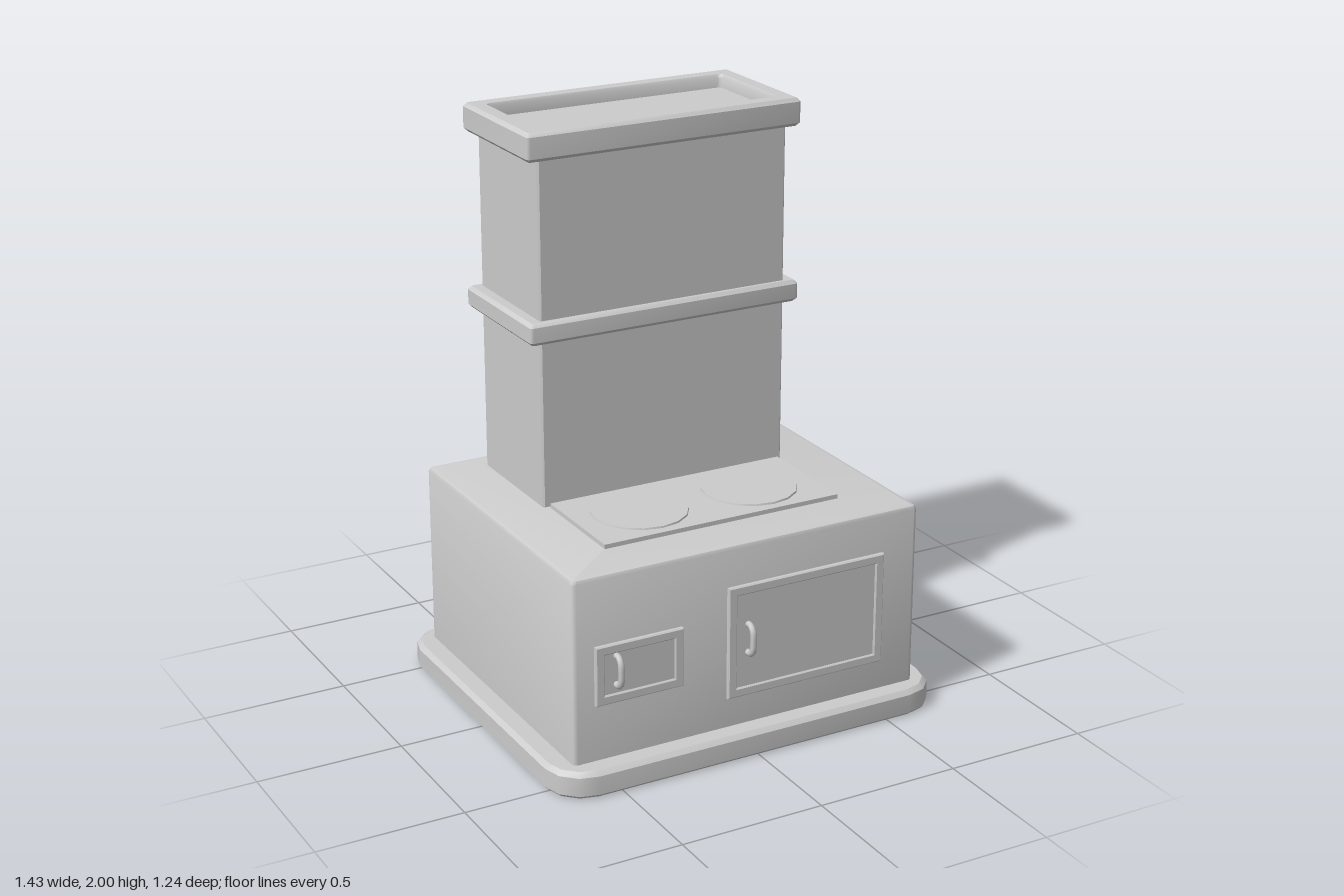
import * as THREE from 'three';
import { toCreasedNormals } from 'three/addons/utils/BufferGeometryUtils.js';

const material = new THREE.MeshStandardMaterial({ color: 0xcccccc, side: THREE.DoubleSide });

function addMesh(parent, name, geometry, x = 0, y = 0, z = 0) {
  const mesh = new THREE.Mesh(geometry, material);
  mesh.name = name;
  mesh.position.set(x, y, z);
  parent.add(mesh);
  return mesh;
}

// Skins rounded rectangles stacked as [y, halfWidth, halfDepth, cornerRadius]
function loft(rings, { segments = 3, cap = true } = {}) {
  const positions = [], index = [];
  const count = 4 * (segments + 1);
  for (const [y, w, d, r] of rings) {
    for (let c = 0; c < 4; c++) {
      const sx = c === 0 || c === 3 ? 1 : -1;
      const sz = c < 2 ? -1 : 1;
      for (let s = 0; s <= segments; s++) {
        const a = (c + s / segments) * Math.PI / 2;
        positions.push(sx * (w - r) + r * Math.cos(a), y, sz * (d - r) - r * Math.sin(a));
      }
    }
  }
  for (let k = 0; k < rings.length - 1; k++) {
    for (let i = 0; i < count; i++) {
      const a = k * count + i, b = k * count + (i + 1) % count;
      index.push(a, b, b + count, a, b + count, a + count);
    }
  }
  if (cap) {
    const o = (rings.length - 1) * count;
    for (let i = 1; i < count - 1; i++) index.push(o, o + i, o + i + 1);
  }
  const geometry = new THREE.BufferGeometry();
  geometry.setAttribute('position', new THREE.Float32BufferAttribute(positions, 3));
  geometry.setIndex(index);
  return toCreasedNormals(geometry, 0.6);
}

// Rectangular frame with a bevelled edge, extruded towards +z
function frameGeometry(w, h, border, depth, bevel) {
  const rect = (target, hw, hh) => target
    .moveTo(-hw, -hh).lineTo(hw, -hh).lineTo(hw, hh).lineTo(-hw, hh).closePath();
  const shape = rect(new THREE.Shape(), w / 2 - bevel, h / 2 - bevel);
  shape.holes.push(rect(new THREE.Path(), w / 2 - border + bevel, h / 2 - border + bevel));
  return new THREE.ExtrudeGeometry(shape, {
    depth: depth - 2 * bevel, bevelThickness: bevel, bevelSize: bevel, bevelSegments: 1,
  }).translate(0, 0, bevel);
}

function makeHandle() {
  const group = new THREE.Group();
  group.name = 'handle';
  const path = new THREE.CatmullRomCurve3([
    [-0.048, -0.01], [-0.05, 0.016], [-0.036, 0.032], [0, 0.036],
    [0.036, 0.032], [0.05, 0.016], [0.048, -0.01],
  ].map(([y, z]) => new THREE.Vector3(0, y, z)));
  addMesh(group, 'handleGrip', new THREE.TubeGeometry(path, 24, 0.011, 8));
  // Fixing studs reach through to the inside
  for (const y of [-0.048, 0.048]) {
    addMesh(group, 'handleStud', new THREE.CylinderGeometry(0.011, 0.011, 0.03, 8).rotateX(Math.PI / 2), 0, y, -0.016);
  }
  return group;
}

function makeDoor(name, left, right, bottom, top, handleX) {
  const door = new THREE.Group();
  door.name = name;
  const w = right - left, h = top - bottom;
  const x = (left + right) / 2, y = (bottom + top) / 2;
  addMesh(door, 'doorFrame', frameGeometry(w, h, 0.032, 0.026, 0.004), x, y, 0.535);
  addMesh(door, 'doorPanel', new THREE.BoxGeometry(w - 0.05, h - 0.05, 0.012), x, y, 0.548);
  const handle = makeHandle();
  handle.position.set(handleX, 0.397, 0.553);
  door.add(handle);
  return door;
}

export function createModel() {
  const stove = new THREE.Group();
  stove.name = 'stove';

  // Plinth: a rounded rim, open underneath
  addMesh(stove, 'plinth', loft([
    [0, 0.705, 0.61, 0.12], [0.01, 0.715, 0.62, 0.13], [0.075, 0.715, 0.62, 0.13],
    [0.09, 0.7, 0.605, 0.12], [0.09, 0.632, 0.54, 0.015],
  ], { cap: false }));

  // Hollow firebox with softened edges
  addMesh(stove, 'firebox', loft([
    [0.08, 0.64, 0.547, 0.016], [0.714, 0.64, 0.547, 0.016],
    [0.725, 0.635, 0.542, 0.014], [0.73, 0.624, 0.531, 0.01],
  ]));

  // Cooktop plate and two hot plates
  addMesh(stove, 'cooktop', new THREE.BoxGeometry(0.87, 0.03, 0.387), 0, 0.73, 0.182);
  for (const side of [-1, 1]) {
    addMesh(stove, 'hotPlate', new THREE.CylinderGeometry(0.162, 0.165, 0.012, 16), side * 0.207, 0.745, 0.182);
  }

  // Chimney
  const chimney = new THREE.Group();
  chimney.name = 'chimney';
  chimney.position.z = -0.242;
  stove.add(chimney);
  addMesh(chimney, 'chimneyShaft', loft([
    [0.72, 0.455, 0.22, 0.006], [1.93, 0.455, 0.22, 0.006],
  ], { segments: 1, cap: false }));
  addMesh(chimney, 'middleBand', loft([
    [1.3, 0.45, 0.215, 0.006], [1.3, 0.488, 0.231, 0.006], [1.312, 0.5, 0.243, 0.012],
    [1.363, 0.5, 0.243, 0.012], [1.375, 0.488, 0.231, 0.006], [1.375, 0.45, 0.215, 0.006],
  ], { cap: false }));
  // Crown with a sunken top
  addMesh(chimney, 'crown', loft([
    [1.905, 0.45, 0.215, 0.006], [1.905, 0.488, 0.231, 0.006], [1.917, 0.5, 0.243, 0.012],
    [1.988, 0.5, 0.243, 0.012], [2, 0.488, 0.231, 0.006], [2, 0.443, 0.185, 0.02],
    [1.99, 0.437, 0.179, 0.018], [1.955, 0.435, 0.177, 0.016],
  ]));

  // Doors on the front
  stove.add(makeDoor('ashDoor', -0.565, -0.25, 0.285, 0.49, -0.49));
  stove.add(makeDoor('fireDoor', -0.085, 0.505, 0.195, 0.587, -0.01));

  return stove;
}
